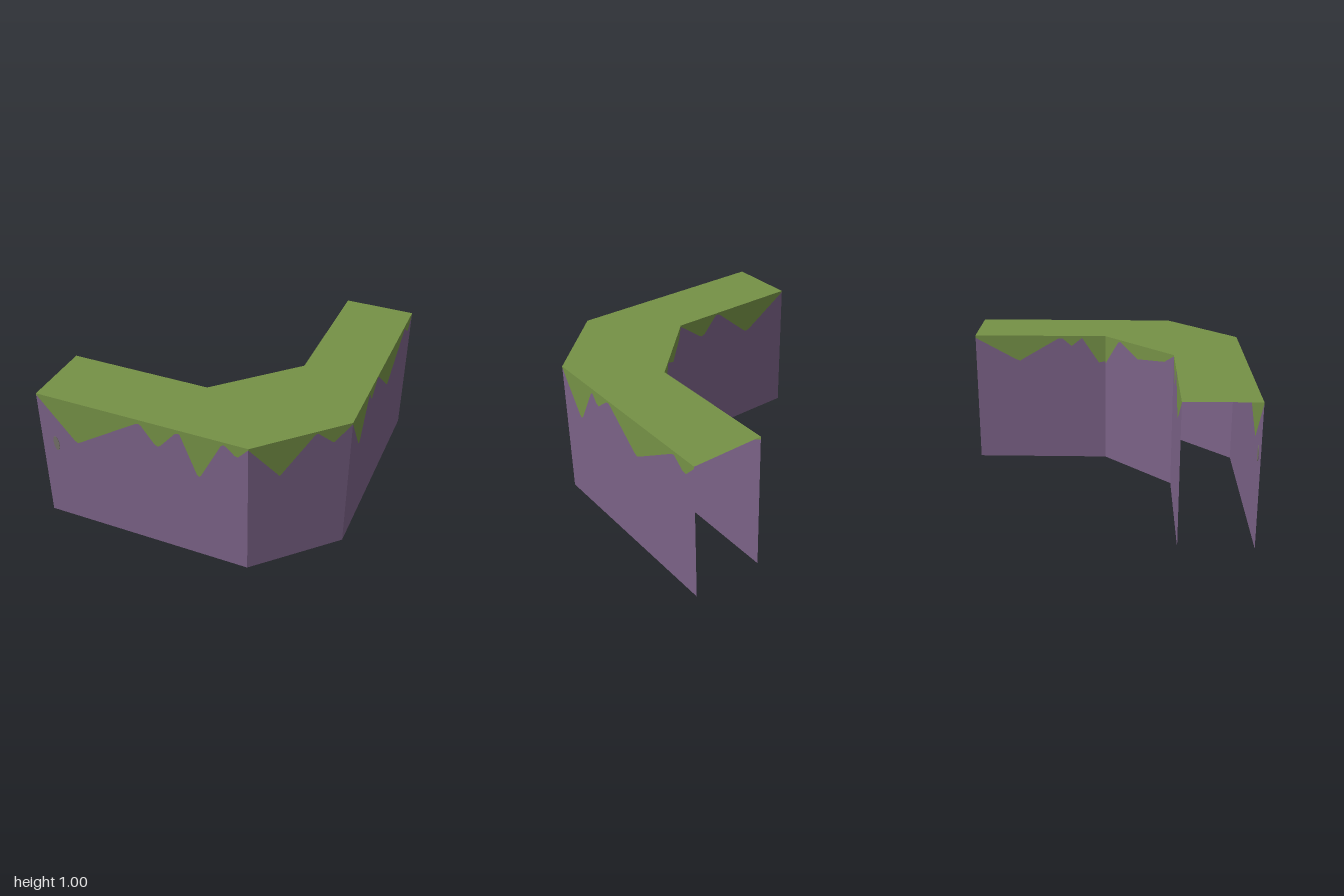
import * as THREE from 'three';

const mat = (name, color) => new THREE.MeshStandardMaterial({ name, color, side: THREE.DoubleSide });

// Plan corners [x, z] of the bent cliff, outer run then inner run
const OUTER = [[-1, 1], [0.5, 1], [1, 0.5], [1, -1]];
const INNER = [[0.5, -1], [0.5, 0], [0, 0.5], [-1, 0.5]];

// Lower edge of the grass on each wall: [fraction along wall, height]
const OUTER_GRASS = [
  [[0, 0.99], [0.173, 0.685], [0.187, 0.675], [0.2, 0.685], [0.483, 0.96], [0.5, 0.97], [0.513, 0.96],
    [0.573, 0.84], [0.587, 0.83], [0.6, 0.84], [0.673, 0.97], [0.687, 0.975], [0.695, 0.965],
    [0.767, 0.69], [0.778, 0.675], [0.787, 0.69], [0.88, 0.97], [0.893, 0.98], [0.907, 0.965],
    [0.94, 0.92], [0.955, 0.915], [1, 0.99]],
  [[0, 0.99], [0.28, 0.745], [0.3, 0.725], [0.32, 0.735], [0.635, 0.98], [0.66, 0.985],
    [0.81, 0.89], [0.83, 0.885], [1, 0.99]],
  [[0, 0.99], [0.127, 0.705], [0.14, 0.69], [0.153, 0.705], [0.247, 0.96], [0.26, 0.965],
    [0.287, 0.91], [0.305, 0.9], [0.373, 0.98], [0.393, 0.985], [0.575, 0.755], [0.593, 0.74],
    [0.61, 0.75], [0.853, 0.97], [0.867, 0.975], [0.925, 0.905], [0.945, 0.9], [1, 0.985]],
];
const INNER_GRASS = [
  [[0, 0.98], [0.31, 0.81], [0.34, 0.8], [0.37, 0.82], [0.64, 0.98], [0.67, 0.98], [0.74, 0.92],
    [0.82, 0.985], [0.95, 0.79], [1, 0.8]],
  [[0, 0.78], [0.2, 0.98], [0.23, 0.985], [0.46, 0.9], [0.49, 0.89], [0.53, 0.895], [0.87, 0.93], [1, 0.99]],
  [[0, 0.99], [0.17, 0.86], [0.19, 0.85], [0.22, 0.86], [0.33, 0.985], [0.36, 0.985],
    [0.61, 0.77], [0.63, 0.76], [0.66, 0.77], [1, 0.99]],
];

export function createModel() {
  const model = new THREE.Group();
  model.name = 'cliffCorner';
  const grass = mat('grassGreen', 0x759146);
  const rock = mat('rockPurple', 0x7b6287);
  const moss = mat('mossGrey', 0x747069);

  const flat = (parent, name, points, material) => {
    const shape = new THREE.Shape(points.map(([x, y]) => new THREE.Vector2(x, y)));
    const mesh = new THREE.Mesh(new THREE.ShapeGeometry(shape), material);
    mesh.name = name;
    parent.add(mesh);
    return mesh;
  };

  // One wall from a to b: rock below the jagged line, hanging grass above it
  const wall = (name, a, b, line) => {
    const dx = b[0] - a[0], dz = b[1] - a[1], len = Math.hypot(dx, dz);
    const group = new THREE.Group();
    group.name = name;
    group.position.set(a[0], 0, a[1]);
    group.rotation.y = Math.atan2(-dz, dx);
    const edge = line.map(([u, y]) => [u * len, y]);
    flat(group, 'rockFace', [[0, 0], [len, 0], ...[...edge].reverse()], rock);
    flat(group, 'hangingGrass', [...edge, [len, 1], [0, 1]], grass);
    model.add(group);
    return group;
  };
  const build = (names, corners, lines) =>
    names.map((n, i) => wall(n, corners[i], corners[i + 1], lines[i]));
  const [frontWall] = build(['frontWall', 'cornerWall', 'sideWall'], OUTER, OUTER_GRASS);
  build(['innerSideWall', 'innerCornerWall', 'innerFrontWall'], INNER, INNER_GRASS);

  // Flat grassy top; bottom and ends stay open
  const top = flat(model, 'grassTop', [...OUTER, ...INNER].map(([x, z]) => [x, -z]), grass);
  top.rotation.x = -Math.PI / 2;
  top.position.y = 1;

  // Small moss patch on the front wall, showing on both faces
  const patch = new THREE.Mesh(new THREE.CylinderGeometry(1, 1, 0.006, 12), moss);
  patch.name = 'mossPatch';
  patch.geometry.rotateX(Math.PI / 2).scale(0.022, 0.058, 1);
  patch.position.set(0.108, 0.622, 0);
  patch.rotation.z = 0.1;
  frontWall.add(patch);

  return model;
}
